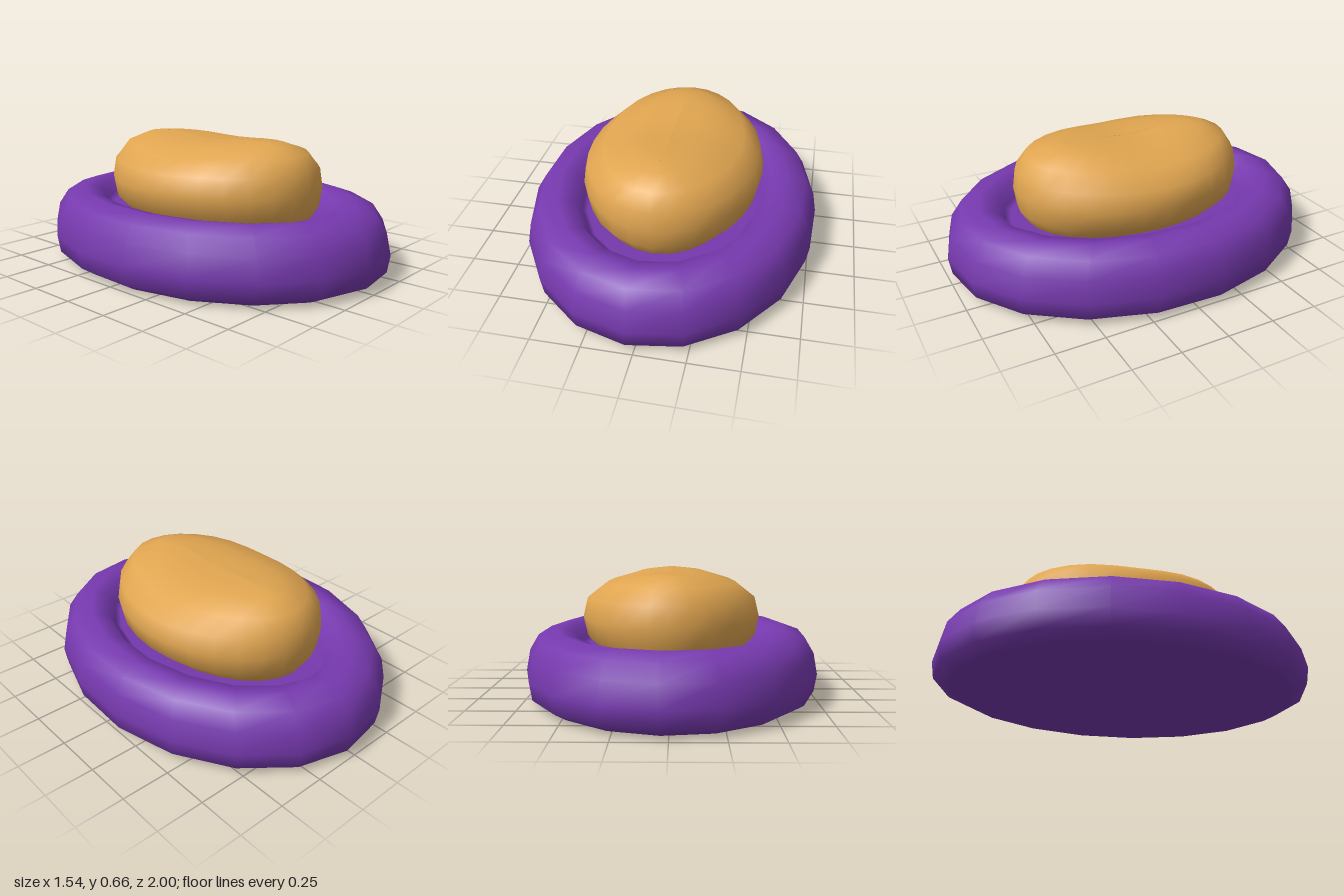
import * as THREE from 'three';

const purple = new THREE.MeshStandardMaterial({ color: 0x7639ae });
purple.name = 'purple bowl';
const golden = new THREE.MeshStandardMaterial({ color: 0xe0a550 });
golden.name = 'golden bread';

// Smooth loft through elliptical rings [radiusX, radiusZ, y], from the bottom centre outwards and up
function loft(rings, sides, offset, warp = (x, y) => y) {
  const pos = [], index = [];
  for (const [rx, rz, y] of rings) {
    for (let j = 0; j < sides; j++) {
      const a = offset + (j / sides) * Math.PI * 2;
      const x = rx * Math.sin(a), z = -rz * Math.cos(a);
      pos.push(x, warp(x, y, z), z);
    }
  }
  for (let i = 0; i < rings.length - 1; i++) {
    for (let j = 0; j < sides; j++) {
      const k = (j + 1) % sides;
      const a = i * sides + j, b = i * sides + k;
      const c = a + sides, d = b + sides;
      index.push(a, c, b, b, c, d);
    }
  }
  const geo = new THREE.BufferGeometry();
  geo.setAttribute('position', new THREE.Float32BufferAttribute(pos, 3));
  geo.setIndex(index);
  geo.computeVertexNormals();
  return geo;
}

export function createModel() {
  const group = new THREE.Group();

  // Oval dish: flat base, rounded outer wall, soft rim and shallow floor
  const dish = new THREE.Mesh(loft([
    [0, 0, 0], [0.70, 0.905, 0], [0.762, 0.985, 0.04], [0.777, 1.0, 0.13],
    [0.757, 0.975, 0.24], [0.71, 0.917, 0.32], [0.61, 0.815, 0.355],
    [0.53, 0.735, 0.335], [0.485, 0.69, 0.27], [0.46, 0.66, 0.25], [0, 0, 0.25],
  ], 18, THREE.MathUtils.degToRad(3)), purple);
  dish.name = 'dish';

  // Bread roll: flattened oval whose upper side sags slightly across the middle
  const upper = [
    [0.472, 0.625, 0.42], [0.45, 0.612, 0.52], [0.36, 0.56, 0.602],
    [0.21, 0.46, 0.645], [0.1, 0.38, 0.655], [0, 0.33, 0.658], [0, 0, 0.658],
  ];
  const lower = upper.slice(1).reverse().map(([rx, rz, y]) => [rx, rz, 0.84 - y]);
  const sag = (x, y, z) => y - 0.02 * Math.exp(-((z / 0.22) ** 2)) * THREE.MathUtils.smoothstep(y, 0.45, 0.6);
  const bread = new THREE.Mesh(loft([...lower, ...upper], 28, 0, sag), golden);
  bread.name = 'bread';

  group.add(dish, bread);
  return group;
}
